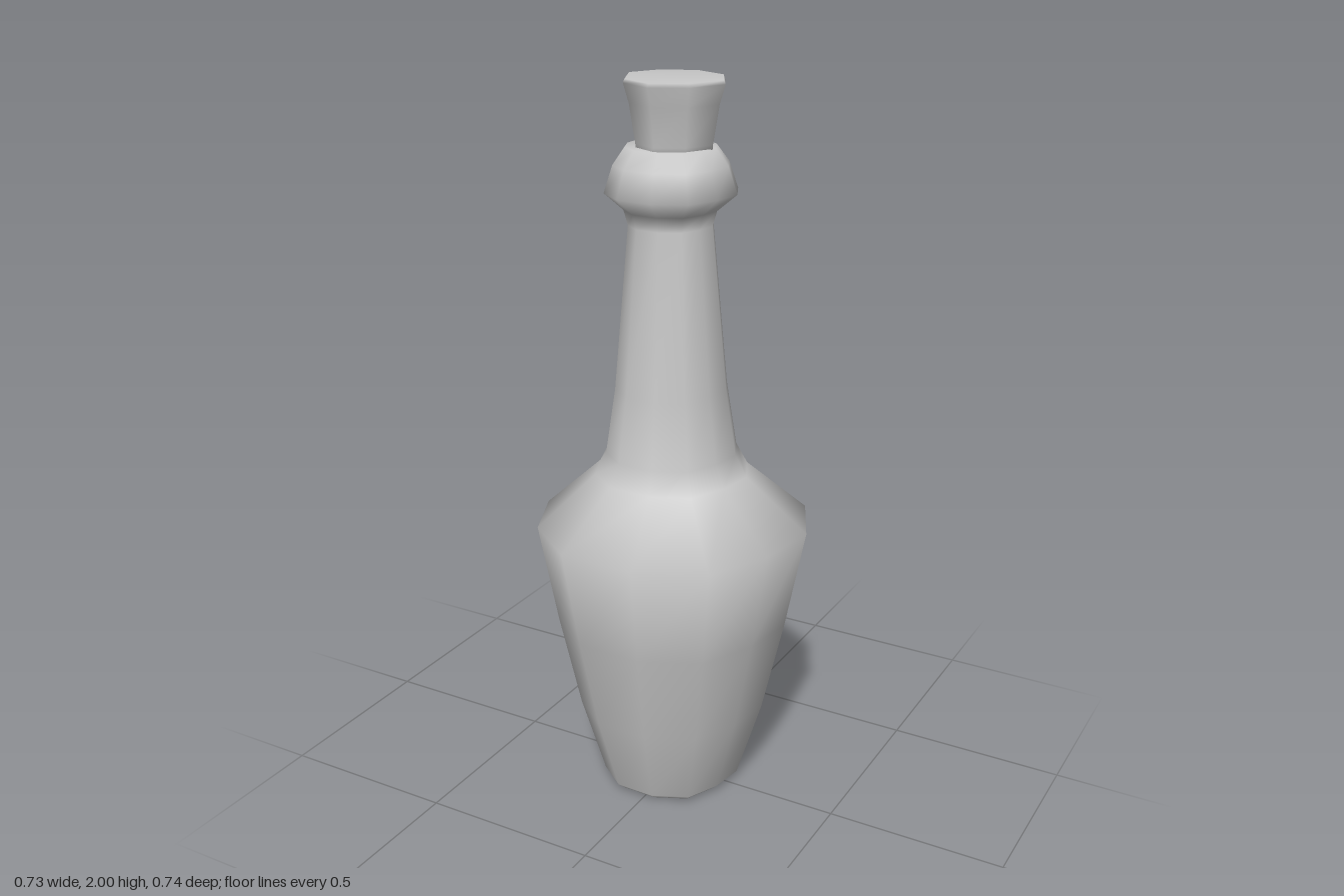
import * as THREE from 'three';

// Smooth closed loft: one outline [x, z] scaled about a centre at each [height, scale]
function loft(outline, [cx, cz], rings) {
  const n = outline.length, pos = [], idx = [];
  for (const [y, s] of rings)
    for (const [x, z] of outline) pos.push(cx + (x - cx) * s, y, cz + (z - cz) * s);
  for (let r = 0; r < rings.length - 1; r++)
    for (let i = 0; i < n; i++) {
      const j = (i + 1) % n;
      const a = r * n + i, b = r * n + j, c = a + n, d = b + n;
      idx.push(a, c, b, b, c, d);
    }
  // End caps
  const top = (rings.length - 1) * n, bottomMid = rings.length * n, topMid = bottomMid + 1;
  pos.push(cx, rings[0][0], cz, cx, rings[rings.length - 1][0], cz);
  for (let i = 0; i < n; i++) {
    const j = (i + 1) % n;
    idx.push(bottomMid, i, j, topMid, top + j, top + i);
  }
  const g = new THREE.BufferGeometry();
  g.setAttribute('position', new THREE.Float32BufferAttribute(pos, 3));
  g.setIndex(idx);
  g.computeVertexNormals();
  return g;
}

export function createModel() {
  const group = new THREE.Group();
  const grey = new THREE.MeshStandardMaterial({ color: 0xc8c8c8 });
  grey.name = 'plain grey';

  const add = (name, geometry) => {
    const mesh = new THREE.Mesh(geometry, grey);
    mesh.name = name;
    group.add(mesh);
  };

  // Bottle: slightly uneven twelve-sided outline at the shoulder
  const shoulder = [
    [0.365, -0.07], [0.337, 0.11], [0.255, 0.282], [0.072, 0.367],
    [-0.14, 0.362], [-0.292, 0.247], [-0.367, 0.08], [-0.365, -0.107],
    [-0.265, -0.277], [-0.088, -0.37], [0.112, -0.347], [0.281, -0.244],
  ];
  const profile = [ // height, half width
    [0, 0.17], [0.02, 0.192], [0.25, 0.258], [0.52, 0.315], [0.805, 0.366],
    [0.95, 0.205], [1.01, 0.175], [1.19, 0.148], [1.63, 0.109],
    [1.67, 0.12], [1.715, 0.17], [1.785, 0.147], [1.83, 0.115],
  ];
  add('bottle', loft(shoulder, [-0.014, 0.005], profile.map(([y, w]) => [y, w / 0.366])));

  // Stopper: eight-sided, flaring upwards
  const rim = [
    [0.139, -0.003], [0.09, 0.093], [0, 0.14], [-0.095, 0.096],
    [-0.146, -0.013], [-0.102, -0.093], [-0.008, -0.135], [0.089, -0.096],
  ];
  add('stopper', loft(rim, [-0.004, 0.002], [[1.79, 0.74], [1.84, 0.77], [1.94, 0.89], [1.99, 1], [2, 0.97]]));
  return group;
}
